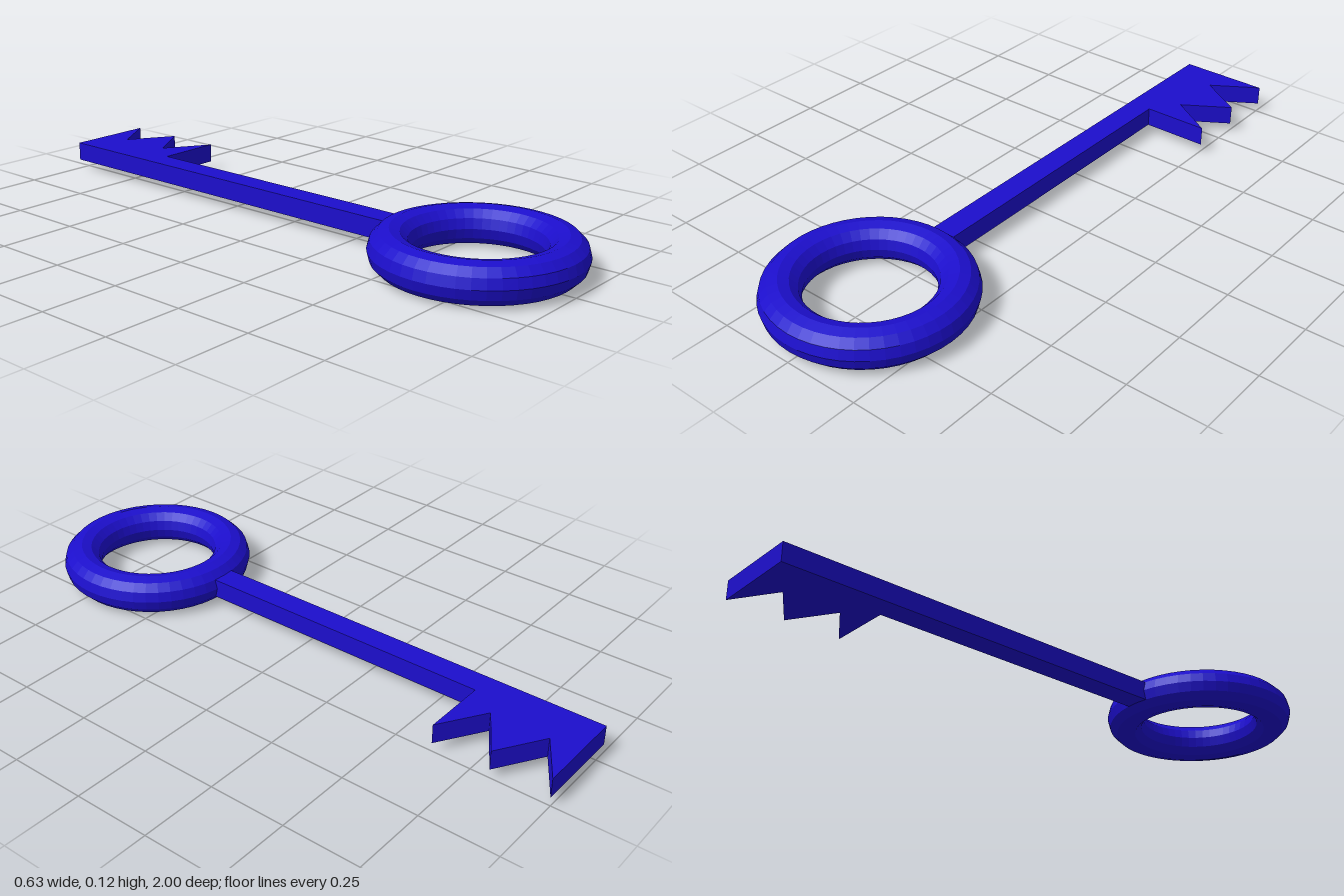
import * as THREE from 'three';

export function createModel() {
  const key = new THREE.Group();
  key.name = 'key';
  const material = new THREE.MeshStandardMaterial({ color: 0x1c0ecc, flatShading: true });
  const tube = 0.0625;       // ring tube radius, also the blade thickness
  const ringRadius = 0.2525;
  const ringZ = 0.685;
  const half = 0.04;         // half width of the shaft

  // Ring handle, lying flat
  const ring = new THREE.Mesh(new THREE.TorusGeometry(ringRadius, tube, 12, 48), material);
  ring.name = 'ringHandle';
  ring.rotation.x = -Math.PI / 2;
  ring.position.set(0, tube, ringZ);
  key.add(ring);

  // Shaft and toothed bit share one flat outline (shape y is -z)
  const outline = new THREE.Shape();
  const shaftEnd = -(ringZ - ringRadius);
  outline.moveTo(-half, shaftEnd);
  outline.lineTo(half, shaftEnd);
  outline.lineTo(half, 0.625);
  // Zigzag teeth: alternating tips and notches
  for (let i = 0; i < 5; i++) {
    outline.lineTo(i % 2 ? 0.107 : 0.255, 0.625 + i * 0.09375);
  }
  outline.lineTo(-half, 1);
  outline.closePath();

  const bladeGeometry = new THREE.ExtrudeGeometry(outline, { depth: tube, bevelEnabled: false });
  bladeGeometry.rotateX(-Math.PI / 2);
  const blade = new THREE.Mesh(bladeGeometry, material);
  blade.name = 'shaftAndTeeth';
  blade.position.y = tube / 2;
  key.add(blade);

  return key;
}
